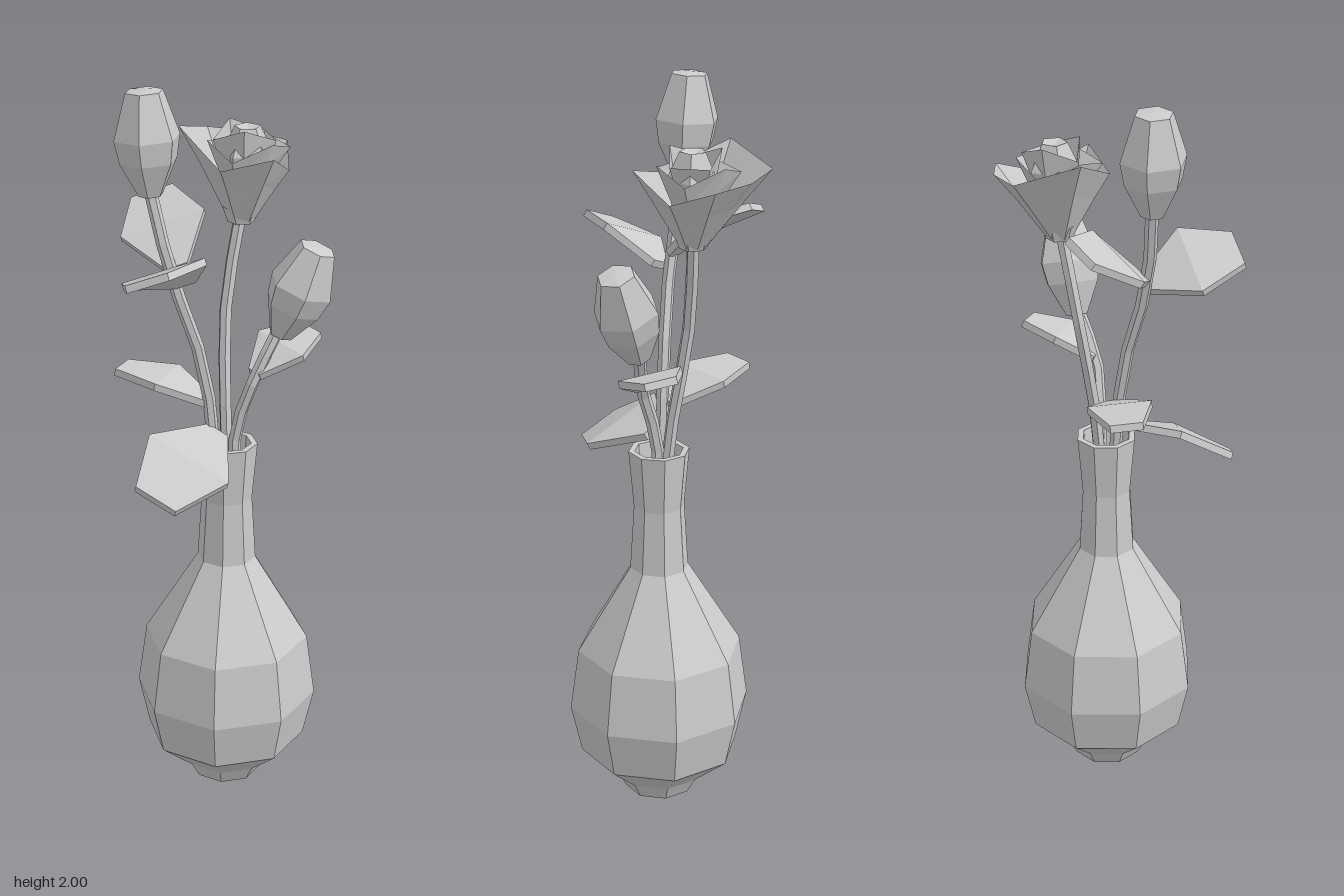
import * as THREE from 'three';

const V = (x, y, z) => new THREE.Vector3(x, y, z);
const grey = new THREE.MeshStandardMaterial({ color: 0xcccccc, flatShading: true });
const greyThin = new THREE.MeshStandardMaterial({ color: 0xcccccc, flatShading: true, side: THREE.DoubleSide });

function lathe(points, sides) {
  return new THREE.LatheGeometry(points.map(([r, y]) => new THREE.Vector2(r, y)), sides);
}

// Skins a list of closed rings with equal point counts; optional end caps
function loft(rings, capped) {
  const n = rings[0].length, index = [];
  for (let i = 0; i < rings.length - 1; i++) {
    for (let j = 0; j < n; j++) {
      const a = i * n + j, b = i * n + (j + 1) % n;
      index.push(a, a + n, b, b, a + n, b + n);
    }
  }
  if (capped) {
    const last = (rings.length - 1) * n;
    for (let j = 1; j < n - 1; j++) index.push(0, j, j + 1, last, last + j + 1, last + j);
  }
  const geometry = new THREE.BufferGeometry().setFromPoints(rings.flat());
  geometry.setIndex(index);
  geometry.computeVertexNormals();
  return geometry;
}

function createVase() {
  const profile = [[0, 0], [0.095, 0], [0.12, 0.045], [0.22, 0.13], [0.25, 0.265], [0.226, 0.44],
    [0.08, 0.68], [0.069, 0.86], [0.083, 1.02], [0.066, 1.02], [0.054, 0.86], [0, 0.84]];
  const vase = new THREE.Mesh(lathe(profile, 8), grey);
  vase.position.set(0.037, 0, 0.01);
  return vase;
}

function createStem(points) {
  const curve = new THREE.CatmullRomCurve3(points);
  return new THREE.Mesh(new THREE.TubeGeometry(curve, 6, 0.017, 6), grey);
}

// Closed bud standing on base and leaning towards tip
function createBud(base, tip, twist) {
  const profile = [[0, 0], [0.032, 0], [0.077, 0.33], [0.088, 0.55], [0.05, 0.98], [0, 1]];
  const axis = tip.clone().sub(base), length = axis.length();
  const bud = new THREE.Mesh(lathe(profile.map(([r, y]) => [r, y * length]), 6).rotateY(twist), grey);
  bud.quaternion.setFromUnitVectors(V(0, 1, 0), axis.normalize());
  bud.position.copy(base);
  return bud;
}

// Thick six-cornered leaf, bent upwards in the middle
function createLeaf(base, tip, roll, width) {
  const along = tip.clone().sub(base);
  const dir = along.clone().normalize();
  const side = dir.clone().cross(V(0, 1, 0)).normalize().applyAxisAngle(dir, roll);
  const up = side.clone().cross(dir);
  const sections = [[0, 0.25, 0], [0.5, 1, 0.022], [1, 0.5, 0]];
  const rings = sections.map(([t, w, lift]) =>
    [[-1, 1], [1, 1], [1, -1], [-1, -1]].map(([s, h]) => base.clone()
      .addScaledVector(along, t)
      .addScaledVector(side, s * w * width)
      .addScaledVector(up, lift + h * 0.01)));
  return new THREE.Mesh(loft(rings, true), greyThin);
}

// Open cup of petals: an uneven rim over a scaled middle ring and a small foot
function createPetalCup(rim, foot, footRadius, bulge) {
  const count = rim.length;
  const footRing = rim.map((p) => {
    const a = Math.atan2(p.z - foot.z, p.x - foot.x);
    return V(foot.x + footRadius * Math.cos(a), foot.y, foot.z + footRadius * Math.sin(a));
  });
  const middle = rim.map((p, i) => footRing[i].clone().lerp(p, 0.55)
    .lerp(V(foot.x, p.y, foot.z), -bulge * (i % 2 ? 1 : 0.5) * (count / 7)));
  middle.forEach((p, i) => { p.y = foot.y + (rim[i].y - foot.y) * 0.6; });
  return new THREE.Mesh(loft([footRing, middle, rim], false), greyThin);
}

function createRose() {
  const rose = new THREE.Group();
  const foot = V(0.135, 1.61, -0.06);

  // Outer petals
  const outerRim = [V(0.02, 1.855, -0.18), V(0.17, 1.81, -0.255), V(0.26, 1.8, -0.18), V(0.303, 1.79, -0.08),
    V(0.23, 1.745, 0.02), V(0.12, 1.81, 0.093), V(0.02, 1.775, 0.0)];
  const outer = createPetalCup(outerRim, foot, 0.035, 0.05);
  outer.name = 'outerPetals';

  // Inner petals, each cup smaller, higher and turned
  const cups = [[0.115, 1.81, 0.4, 6], [0.08, 1.845, 1.0, 5]];
  cups.forEach(([radius, top, turn, n], k) => {
    const rim = Array.from({ length: n }, (_, i) => {
      const a = turn + i * Math.PI * 2 / n, r = radius * (i % 2 ? 0.88 : 1.08);
      return V(0.145 + r * Math.cos(a), top + (i % 2 ? 0.02 : -0.015), -0.06 + r * Math.sin(a));
    });
    const cup = createPetalCup(rim, V(0.14, 1.66, -0.06), 0.03, 0.08);
    cup.name = 'innerPetals' + (k + 1);
    rose.add(cup);
  });

  // Closed heart of the flower
  const heart = new THREE.Mesh(lathe([[0, 0], [0.04, 0], [0.068, 0.13], [0.035, 0.2], [0, 0.19]], 5), grey);
  heart.name = 'roseHeart';
  heart.position.set(0.15, 1.66, -0.055);

  // Green cup closing the underside
  const calyx = new THREE.Mesh(lathe([[0, 0], [0.036, 0], [0.05, 0.04], [0, 0.045]], 6), grey);
  calyx.name = 'calyx';
  calyx.position.copy(foot).y -= 0.005;
  rose.add(outer, heart, calyx);
  return rose;
}

export function createModel() {
  const model = new THREE.Group();
  const add = (name, part) => {
    part.name = name;
    model.add(part);
  };

  add('vase', createVase());

  add('tallBudStem', createStem([V(0.01, 0.85, 0.0), V(0.0, 1.05, -0.005), V(-0.025, 1.25, -0.015),
    V(-0.105, 1.52, -0.05), V(-0.135, 1.74, -0.095)]));
  add('roseStem', createStem([V(0.05, 0.85, 0.0), V(0.052, 1.05, -0.015), V(0.085, 1.38, -0.06), V(0.133, 1.63, -0.06)]));
  add('shortBudStem', createStem([V(0.055, 0.85, 0.02), V(0.06, 1.05, 0.02), V(0.085, 1.2, 0.06), V(0.155, 1.35, 0.085)]));

  add('tallBud', createBud(V(-0.135, 1.72, -0.09), V(-0.142, 1.995, -0.105), 0.2));
  add('shortBud', createBud(V(0.155, 1.325, 0.085), V(0.222, 1.575, 0.155), 0.5));
  add('rose', createRose());

  // Leaves: base, tip, roll, half width
  const leaves = [
    [V(-0.085, 1.495, -0.015), V(-0.293, 1.575, 0.112), 0.4, 0.118],
    [V(-0.085, 1.525, -0.045), V(-0.01, 1.66, -0.258), -0.35, 0.115],
    [V(0.0, 1.135, -0.02), V(-0.13, 1.195, -0.243), 0.05, 0.085],
    [V(0.0, 1.06, 0.015), V(-0.28, 0.975, 0.118), -0.4, 0.125],
    [V(0.09, 1.22, 0.06), V(0.285, 1.3, 0.052), 0.15, 0.085],
  ];
  leaves.forEach((leaf, i) => add('leaf' + (i + 1), createLeaf(...leaf)));

  return model;
}
